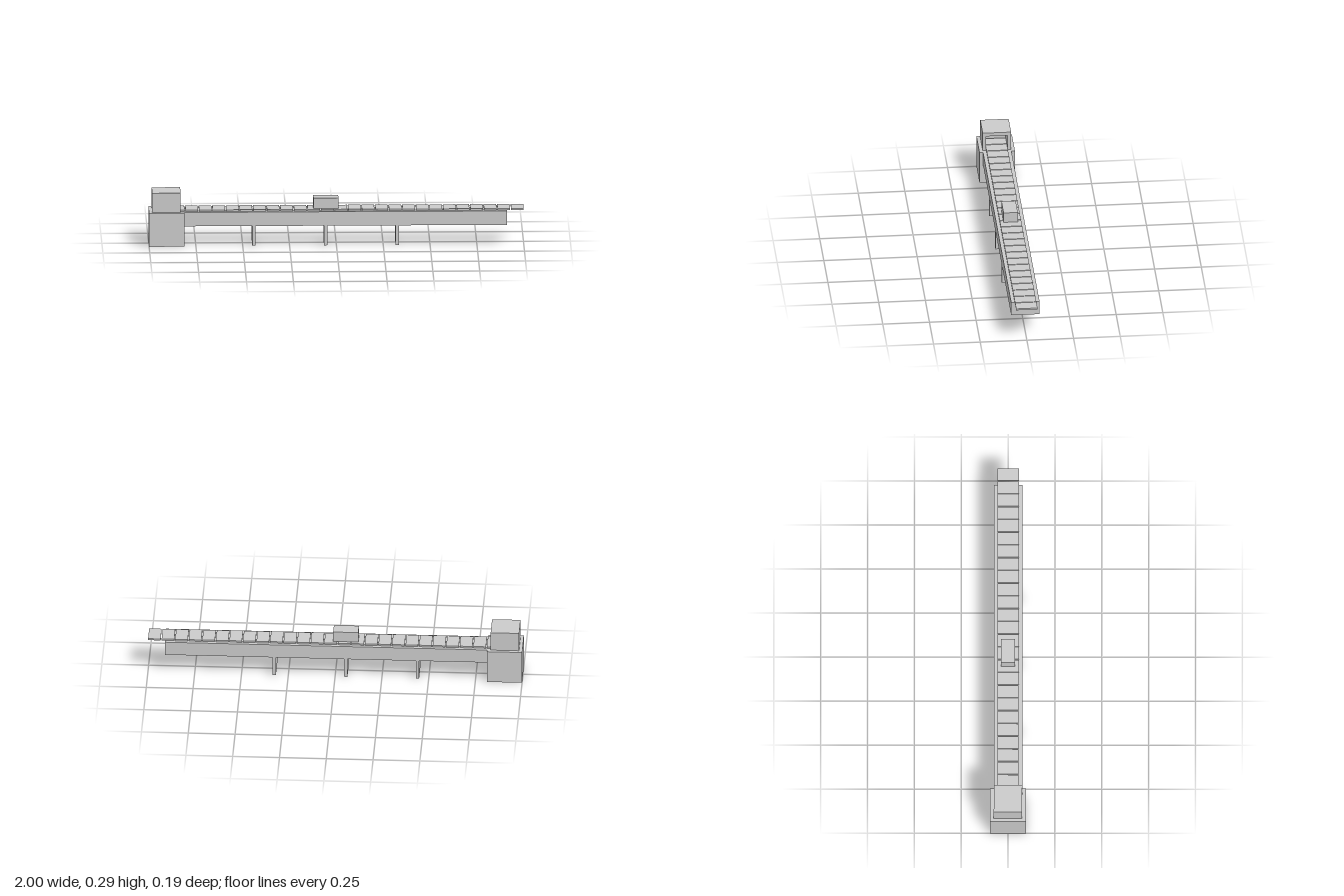
import * as THREE from 'three';

const material = new THREE.MeshStandardMaterial({ color: 0xcccccc, flatShading: true });

// Box given by its [min, max] range on each axis
function addBox(parent, name, [x0, x1], [y0, y1], [z0, z1]) {
  const mesh = new THREE.Mesh(new THREE.BoxGeometry(x1 - x0, y1 - y0, z1 - z0), material);
  mesh.name = name;
  mesh.position.set((x0 + x1) / 2, (y0 + y1) / 2, (z0 + z1) / 2);
  parent.add(mesh);
  return mesh;
}

export function createModel() {
  const model = new THREE.Group();
  model.name = 'conveyor';
  const deckY = 0.183;

  // Drive housing and long bed
  addBox(model, 'driveHousing', [-1, -0.812], [0, deckY], [-0.095, 0.095]);
  addBox(model, 'bed', [-0.812, 0.91], [0.107, deckY], [-0.076, 0.076]);

  // Hood, open towards the belt
  const hood = new THREE.Group();
  hood.name = 'hood';
  model.add(hood);
  addBox(hood, 'hoodRoof', [-0.983, -0.831], [0.268, 0.288], [-0.076, 0.076]);
  addBox(hood, 'hoodBack', [-0.983, -0.963], [deckY, 0.268], [-0.076, 0.076]);
  addBox(hood, 'hoodFrontWall', [-0.963, -0.831], [deckY, 0.268], [0.058, 0.076]);
  addBox(hood, 'hoodRearWall', [-0.963, -0.831], [deckY, 0.268], [-0.076, -0.058]);

  // Belt slats, running from inside the hood past the end of the bed
  const belt = new THREE.Group();
  belt.name = 'belt';
  model.add(belt);
  const pitch = 0.0724, slatLength = 0.067;
  for (let i = 0; i < 27; i++) {
    const end = 1 - i * pitch;
    addBox(belt, 'slat', [end - slatLength, end], [deckY, 0.192], [-0.057, 0.057]);
  }

  // Support plates
  for (const x of [-0.44, -0.057, 0.325]) {
    addBox(model, 'support', [x - 0.009, x + 0.009], [0, 0.107], [-0.076, 0.076]);
  }

  // Parcel on the belt
  addBox(model, 'parcel', [-0.122, 0.012], [0.192, 0.249], [-0.038, 0.038]);

  return model;
}
